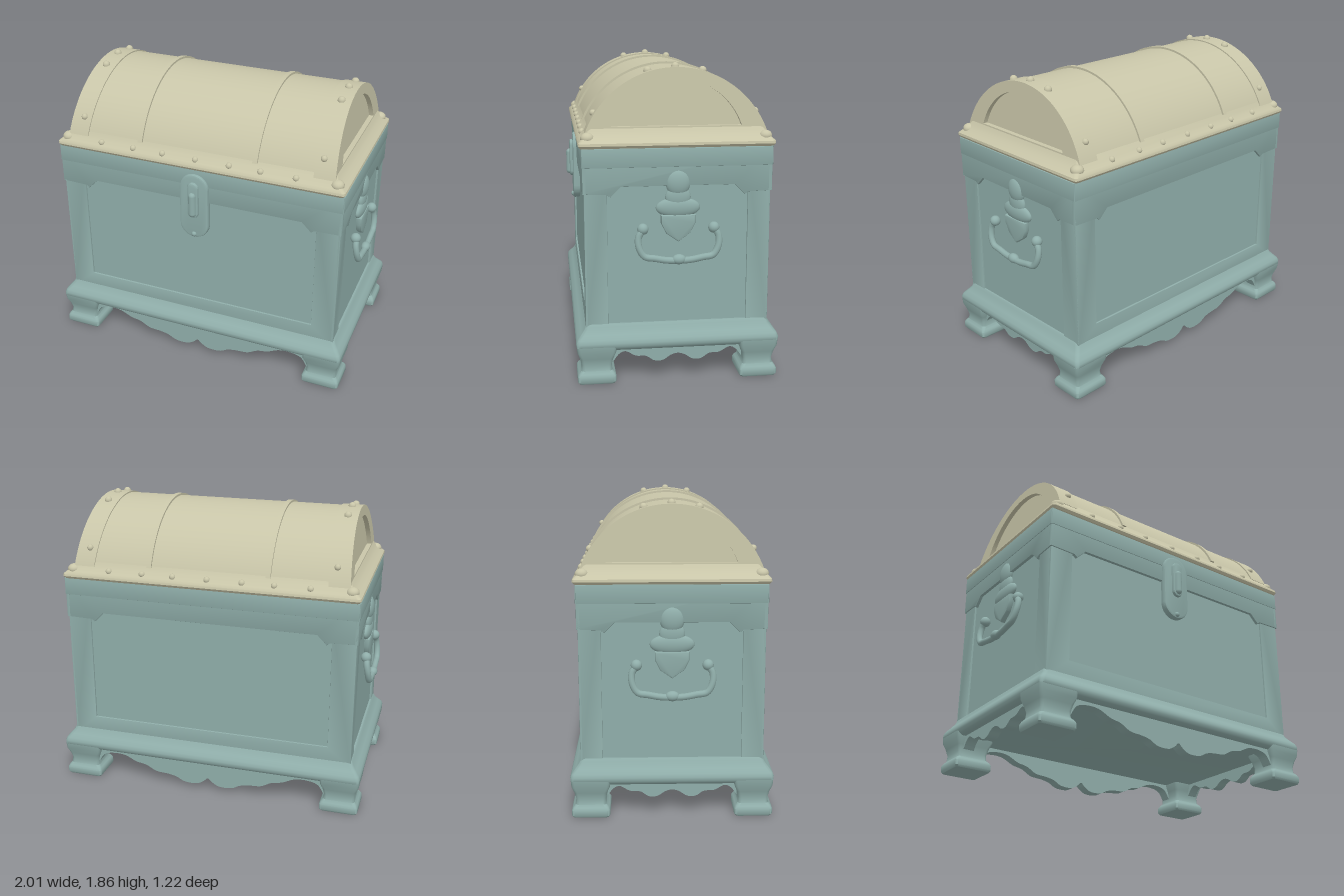
import * as THREE from 'three';
import { toCreasedNormals } from 'three/addons/utils/BufferGeometryUtils.js';

const bodyMat = new THREE.MeshStandardMaterial({ color: 0x8fada9 });
const lidMat = new THREE.MeshStandardMaterial({ color: 0xc8c5a8 });

function add(parent, name, geo, mat, x = 0, y = 0, z = 0) {
  const mesh = new THREE.Mesh(geo, mat);
  mesh.name = name;
  mesh.position.set(x, y, z);
  parent.add(mesh);
  return mesh;
}

// Stack of rounded rectangles, sections = [y, halfX, halfZ], bottom to top
function loft(sections, r) {
  const pos = [], idx = [], steps = 4, n = 4 * (steps + 1);
  for (const [y, hx, hz] of sections) {
    for (let c = 0; c < 4; c++) {
      const sx = c === 0 || c === 3 ? 1 : -1, sz = c < 2 ? 1 : -1;
      for (let s = 0; s <= steps; s++) {
        const a = (c + s / steps) * Math.PI / 2;
        pos.push(sx * (hx - r) + r * Math.cos(a), y, sz * (hz - r) + r * Math.sin(a));
      }
    }
  }
  const last = sections.length - 1;
  for (let i = 0; i < last; i++) {
    for (let j = 0; j < n; j++) {
      const a = i * n + j, b = i * n + (j + 1) % n;
      idx.push(a, a + n, b, b, a + n, b + n);
    }
  }
  for (let j = 1; j < n - 1; j++) {
    idx.push(0, j, j + 1, last * n, last * n + j + 1, last * n + j);
  }
  const g = new THREE.BufferGeometry();
  g.setAttribute('position', new THREE.Float32BufferAttribute(pos, 3));
  g.setIndex(idx);
  return toCreasedNormals(g, 0.7);
}

const polygon = pts => new THREE.Shape(pts.map(p => new THREE.Vector2(p[0], p[1])));

function extrude(shape, depth, bevel = 0) {
  return toCreasedNormals(new THREE.ExtrudeGeometry(shape, {
    depth: depth - bevel, curveSegments: 48, bevelEnabled: bevel > 0,
    bevelThickness: bevel, bevelSize: bevel, bevelOffset: -bevel, bevelSegments: 2,
  }), 0.6);
}

// Circle segment above the level y0, in the z-y plane
function arch(Type, cy, R, y0) {
  const a = Math.asin((y0 - cy) / R), p = new Type();
  p.absarc(0, cy, R, a, Math.PI - a, false);
  p.closePath();
  return p;
}

// Extrudes an arch from x0 to x1, leaning the ends inwards with height
function archSlab(shape, x0, x1, lean) {
  const g = new THREE.ExtrudeGeometry(shape, { depth: x1 - x0, curveSegments: 56, bevelEnabled: false });
  g.rotateY(Math.PI / 2).translate(x0, 0, 0);
  const p = g.attributes.position;
  for (let i = 0; i < p.count; i++) {
    p.setX(i, p.getX(i) - Math.sign(p.getX(i)) * lean * (p.getY(i) - 1.5));
  }
  return toCreasedNormals(g, 0.6);
}

function buildLid() {
  const lid = new THREE.Group();
  lid.name = 'lid';
  add(lid, 'lidRim', loft([[1.39, 0.935, 0.56], [1.405, 0.945, 0.57], [1.42, 0.943, 0.568], [1.435, 0.925, 0.553],
    [1.455, 0.9, 0.535], [1.48, 0.882, 0.518], [1.5, 0.87, 0.507]], 0.02), lidMat);
  add(lid, 'lidBarrel', archSlab(arch(THREE.Shape, 1.275, 0.555, 1.47), -0.842, 0.842, 0.075), lidMat);
  for (const s of [-1, 1]) {
    // End arch around the sunken half-moon panel
    const ring = arch(THREE.Shape, 1.275, 0.563, 1.47);
    ring.holes.push(arch(THREE.Path, 1.375, 0.4, 1.505));
    add(lid, 'endArch', archSlab(ring, s > 0 ? 0.74 : -0.872, s > 0 ? 0.872 : -0.74, 0.075), lidMat);
    add(lid, 'lidStrap', archSlab(arch(THREE.Shape, 1.275, 0.568, 1.49), s * 0.378 - 0.015, s * 0.378 + 0.015, 0), lidMat);
    // Studs over the end arch
    for (const z of [-0.475, -0.16, 0, 0.16, 0.475]) {
      const y = 1.275 + Math.sqrt(0.563 ** 2 - z * z);
      const big = Math.abs(z) < 0.3;
      add(lid, 'archStud', new THREE.SphereGeometry(big ? 0.024 : 0.02, 16, 10), lidMat, s * 0.785, y, z);
    }
    // Corner lumps
    for (const t of [-1, 1]) {
      add(lid, 'lidCorner', new THREE.SphereGeometry(0.04, 16, 12), lidMat, s * 0.885, 1.445, t * 0.515)
        .scale.set(1, 0.8, 1);
    }
  }
  // Studs along the rim
  for (const x of [-0.64, -0.42, -0.22, 0, 0.22, 0.42, 0.64]) {
    for (const t of [-1, 1]) {
      add(lid, 'rimStud', new THREE.SphereGeometry(0.02, 16, 10), lidMat, x, 1.45, t * 0.535);
    }
  }
  return lid;
}

// Raised frame and notched top band for one wall
function buildWall(half, open, bottom, notch) {
  const wall = new THREE.Group();
  wall.name = 'wall';
  const frame = polygon([[-half, 0.3], [half, 0.3], [half, 1.39], [-half, 1.39]]);
  frame.holes.push(polygon([[-open, bottom], [-open, 1.25], [open, 1.25], [open, bottom]]));
  add(wall, 'wallFrame', extrude(frame, 0.012, 0.004), bodyMat);
  const w = half + 0.008;
  add(wall, 'topBand', extrude(polygon([[-w, 1.13], [-notch - 0.08, 1.125], [-notch - 0.06, 1.11], [-notch, 1.17],
    [notch, 1.17], [notch + 0.06, 1.11], [notch + 0.08, 1.125], [w, 1.13], [w, 1.39], [-w, 1.39]]), 0.02, 0.005), bodyMat);
  add(wall, 'topRail', extrude(polygon([[-w, 1.28], [w, 1.28], [w, 1.39], [-w, 1.39]]), 0.024, 0.004), bodyMat);
  return wall;
}

// Apron with a scalloped lower edge, given as half profile [x, y] from the middle out
function apron(profile) {
  const lower = [...profile.slice(1).reverse().map(([x, y]) => new THREE.Vector2(-x, y)),
    ...profile.map(([x, y]) => new THREE.Vector2(x, y))];
  const end = profile[profile.length - 1][0];
  const shape = new THREE.Shape();
  shape.moveTo(-end, 0.24);
  shape.lineTo(lower[0].x, lower[0].y);
  shape.splineThru(lower.slice(1));
  shape.lineTo(end, 0.24);
  return extrude(shape, 0.07);
}

function buildLatch() {
  const latch = new THREE.Group();
  latch.name = 'latch';
  const stadium = (r, h) => {
    const s = new THREE.Shape();
    s.absarc(0, h, r, 0, Math.PI, false);
    s.absarc(0, -h, r, Math.PI, Math.PI * 2, false);
    return s;
  };
  add(latch, 'latchPlate', extrude(stadium(0.095, 0.125), 0.035, 0.012), bodyMat, 0, 1.14, 0.54);
  add(latch, 'hasp', extrude(stadium(0.037, 0.085), 0.03, 0.012), bodyMat, 0, 1.19, 0.565);
  add(latch, 'haspTongue', new THREE.CapsuleGeometry(0.024, 0.12, 6, 14), bodyMat, 0, 1.165, 0.593);
  add(latch, 'latchPin', new THREE.SphereGeometry(0.018, 14, 10), bodyMat, 0, 0.945, 0.57);
  return latch;
}

// Drop handle and escutcheon, facing +z before being turned to the side
function buildHandle() {
  const handle = new THREE.Group();
  handle.name = 'handle';
  const half = [[0.205, 0.92, 0.03], [0.232, 0.88, 0.035], [0.232, 0.82, 0.045], [0.2, 0.765, 0.05], [0.14, 0.752, 0.05], [0.06, 0.738, 0.05]];
  const path = [...half.map(([x, y, z]) => new THREE.Vector3(-x, y, z)),
    ...half.slice().reverse().map(([x, y, z]) => new THREE.Vector3(x, y, z))];
  add(handle, 'bail', new THREE.TubeGeometry(new THREE.CatmullRomCurve3(path), 64, 0.02, 10), bodyMat);
  add(handle, 'bailKnob', new THREE.SphereGeometry(0.03, 16, 12), bodyMat, 0, 0.743, 0.05).scale.x = 1.4;
  for (const s of [-1, 1]) {
    add(handle, 'bailPivot', new THREE.SphereGeometry(0.033, 16, 12), bodyMat, s * 0.207, 0.922, 0.025);
  }
  add(handle, 'shield', extrude(polygon([[0, 0.84], [0.07, 0.89], [0.1, 0.95], [0.1, 1.0], [-0.1, 1.0],
    [-0.1, 0.95], [-0.07, 0.89]]), 0.03, 0.012), bodyMat);
  add(handle, 'shieldShoulder', new THREE.SphereGeometry(1, 24, 16), bodyMat, 0, 1.04, 0).scale.set(0.13, 0.06, 0.032);
  add(handle, 'shieldNeck', new THREE.SphereGeometry(1, 20, 14), bodyMat, 0, 1.1, 0).scale.set(0.075, 0.07, 0.028);
  add(handle, 'shieldTop', new THREE.SphereGeometry(1, 20, 14), bodyMat, 0, 1.185, 0).scale.set(0.072, 0.08, 0.035);
  return handle;
}

export function createModel() {
  const model = new THREE.Group();
  model.name = 'chest';
  const chest = new THREE.Group();
  chest.name = 'chestParts';
  chest.position.z = -0.012;
  model.add(chest);
  chest.add(buildLid());

  // Body core and framed walls
  add(chest, 'bodyCore', new THREE.BoxGeometry(1.836, 1.17, 1.06), bodyMat, 0, 0.805, 0);
  const handleTurns = [Math.PI / 2, -Math.PI / 2];
  for (const turn of [0, Math.PI]) {
    const wall = buildWall(0.93, 0.78, 0.43, 0.69);
    const skirt = add(wall, 'longApron', apron([[0, 0.09], [0.03, 0.065], [0.08, 0.04], [0.16, 0.042], [0.22, 0.07], [0.28, 0.082],
      [0.36, 0.09], [0.43, 0.125], [0.5, 0.14], [0.58, 0.175], [0.66, 0.18], [0.73, 0.16], [0.77, 0.1]]), bodyMat);
    skirt.position.z = -0.045;
    wall.rotation.y = turn;
    wall.position.z = 0.53 * Math.cos(turn);
    chest.add(wall);
  }
  for (const turn of handleTurns) {
    const wall = buildWall(0.542, 0.41, 0.32, 0.33);
    const skirt = add(wall, 'shortApron', apron([[0, 0.155], [0.04, 0.145], [0.09, 0.115], [0.14, 0.115], [0.19, 0.145],
      [0.25, 0.15], [0.31, 0.18], [0.35, 0.165], [0.385, 0.12]]), bodyMat);
    skirt.position.z = -0.045;
    const handle = buildHandle();
    handle.position.z = 0.005;
    wall.add(handle);
    wall.rotation.y = turn;
    wall.position.x = 0.918 * Math.sin(turn);
    chest.add(wall);
  }
  chest.add(buildLatch());

  // Swelling base moulding
  const swell = [[0.2, 0.035], [0.212, 0.054], [0.23, 0.066], [0.25, 0.066], [0.27, 0.058], [0.295, 0.036],
    [0.32, 0.016], [0.335, 0.01], [0.35, 0]];
  add(chest, 'baseMoulding', loft(swell.map(([y, o]) => [y, 0.93 + o, 0.535 + o]), 0.025), bodyMat);

  // Ogee bracket feet
  const foot = [[0, -0.008], [0.012, 0], [0.045, 0], [0.06, -0.008], [0.075, -0.022], [0.11, -0.025],
    [0.15, -0.015], [0.19, 0], [0.23, 0.004]];
  for (const sx of [-1, 1]) {
    for (const sz of [-1, 1]) {
      add(chest, 'foot', loft(foot.map(([y, o]) => [y, 0.122 + o, 0.113 + o]), 0.02), bodyMat, sx * 0.87, 0, sz * 0.482);
    }
  }
  return model;
}
